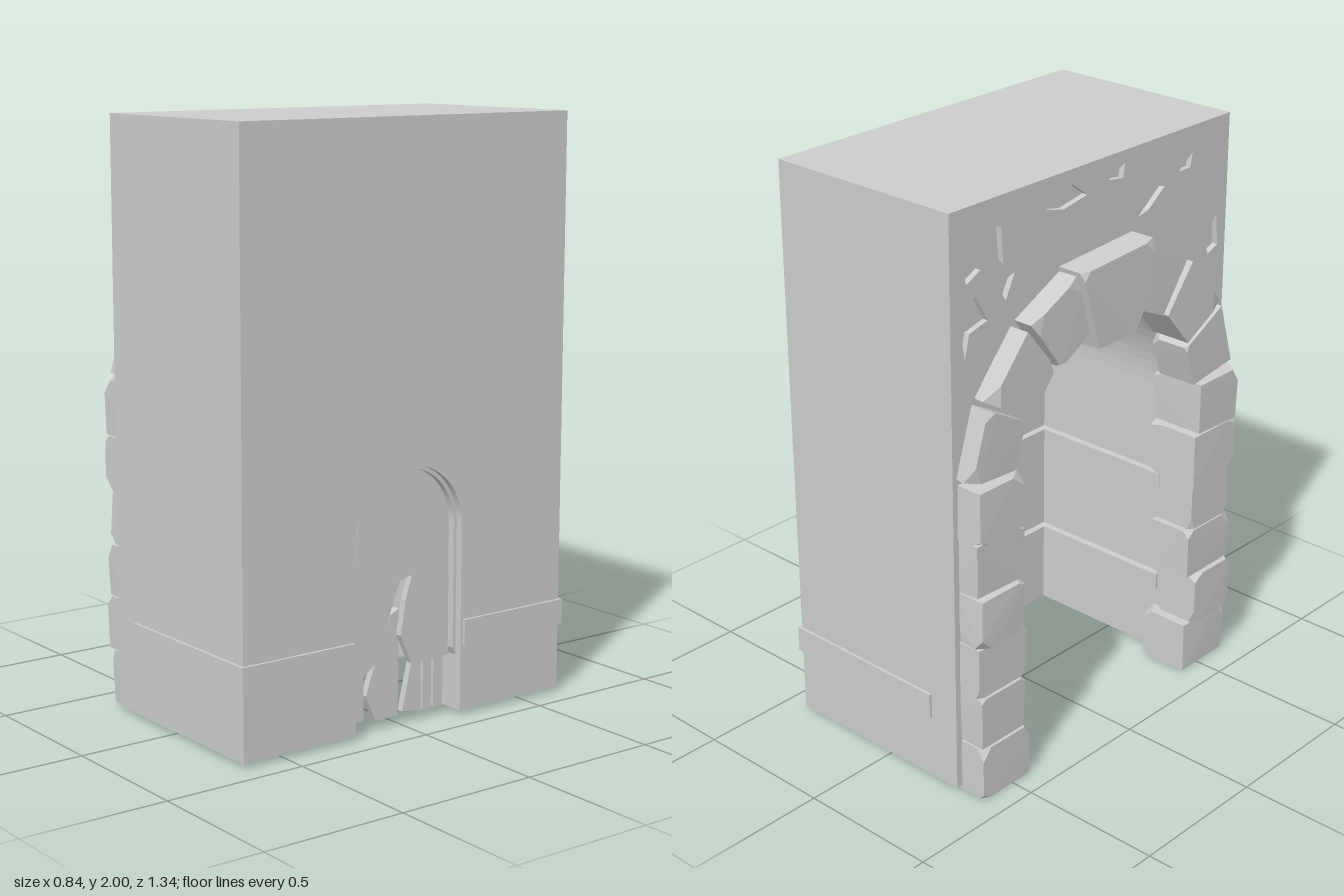
import * as THREE from 'three';
import { ConvexGeometry } from 'three/addons/geometries/ConvexGeometry.js';

const material = new THREE.MeshStandardMaterial({ color: 0xcccccc, flatShading: true });

// Small seeded generator for the rough stonework
let seed = 7;
const rand = () => (seed = (seed * 16807) % 2147483647) / 2147483647;

export function createModel() {
  const model = new THREE.Group();

  const add = (name, geometry) => {
    const mesh = new THREE.Mesh(geometry, material);
    mesh.name = name;
    model.add(mesh);
    return mesh;
  };

  // Shapes are drawn as (u, y) with u = -z, then extruded along x
  const extrudeX = (name, shape, x0, x1) => {
    const g = new THREE.ExtrudeGeometry(shape, { depth: x1 - x0, bevelEnabled: false, curveSegments: 20 });
    g.rotateY(Math.PI / 2).translate(x0, 0, 0);
    return add(name, g);
  };
  const polygon = (pts) => new THREE.Shape(pts.map(([u, y]) => new THREE.Vector2(u, y)));
  const box = (name, x0, x1, y0, y1, z0, z1) => {
    const g = new THREE.BoxGeometry(x1 - x0, y1 - y0, z1 - z0);
    g.translate((x0 + x1) / 2, (y0 + y1) / 2, (z0 + z1) / 2);
    return add(name, g);
  };

  // Rectangular wall section with an arched opening rising from the ground
  const W = 0.66, base = 0.015;
  const wallWithArch = (r, spring) => {
    const s = new THREE.Shape();
    s.moveTo(r, base);
    s.lineTo(W, base);
    s.lineTo(W, 2);
    s.lineTo(-W, 2);
    s.lineTo(-W, base);
    s.lineTo(-r, base);
    s.lineTo(-r, spring);
    s.absarc(0, spring, r, Math.PI, 0, true);
    s.lineTo(r, base);
    return s;
  };

  const R = 0.46, spring = 1.06;
  extrudeX('vaultedBlock', wallWithArch(R, spring), -0.3, 0.31);
  extrudeX('doorWall', wallWithArch(0.22, 0.66), 0.31, 0.41);

  // Thin plaster face with broken-out chips
  const plaster = wallWithArch(R, spring);
  const chips = [
    [[0.62, 1.86], [0.57, 1.9], [0.53, 1.79], [0.59, 1.76]],
    [[0.5, 1.93], [0.44, 1.9], [0.43, 1.78], [0.47, 1.82]],
    [[0.63, 1.7], [0.55, 1.71], [0.5, 1.62], [0.58, 1.6], [0.6, 1.52]],
    [[0.46, 1.72], [0.38, 1.74], [0.42, 1.66]],
    [[0.24, 1.9], [0.12, 1.95], [0.05, 1.9], [0.16, 1.88]],
    [[-0.05, 1.92], [-0.13, 1.96], [-0.12, 1.91]],
    [[-0.2, 1.76], [-0.29, 1.84], [-0.33, 1.83], [-0.25, 1.77]],
    [[-0.4, 1.86], [-0.47, 1.91], [-0.46, 1.86]],
    [[-0.54, 1.6], [-0.61, 1.66], [-0.62, 1.55], [-0.57, 1.53]],
  ];
  for (const c of chips) plaster.holes.push(polygon(c));
  extrudeX('plasterFace', plaster, -0.32, -0.3);

  // Rough stone: a block on four (u, y) corners with some corners knocked off
  const stone = (name, quad, x0, x1) => {
    const corner = (q, f) => {
      const [u, y] = quad[(q + 4) % 4];
      return new THREE.Vector3(f ? x1 : x0, y, -u);
    };
    const centre = new THREE.Vector3();
    for (let q = 0; q < 4; q++) centre.add(corner(q, 0)).add(corner(q, 1));
    centre.divideScalar(8);
    const pts = [];
    for (let q = 0; q < 4; q++) for (let f = 0; f < 2; f++) {
      const p = corner(q, f);
      if (rand() < 0.6) {
        for (const n of [corner(q + 1, f), corner(q - 1, f), corner(q, 1 - f)])
          pts.push(p.clone().lerp(n, 0.06 + 0.22 * rand()));
      } else pts.push(p.clone().lerp(centre, 0.07 * rand()));
    }
    add(name, new ConvexGeometry(pts));
  };

  // Jamb stones stacked on both sides of the large opening
  const rows = [0, 0.19, 0.38, 0.56, 0.74, 0.93, 1.12];
  for (const side of [-1, 1]) {
    for (let i = 0; i < rows.length - 1; i++) {
      const inner = side * (0.41 + (i % 2) * 0.025 + rand() * 0.015);
      const outer = side * (0.655 - rand() * 0.02);
      const y0 = rows[i], y1 = rows[i + 1];
      stone('jambStone', [[inner, y0], [outer, y0], [outer, y1], [inner, y1]],
        -0.395 - rand() * 0.025, -0.21 - rand() * 0.04);
    }
  }

  // Arch stones, angles measured from the crown
  const voussoir = (name, a0, a1, r0, r1, front) => {
    const at = (a, r) => [r * Math.sin(a), spring + r * Math.cos(a)];
    stone(name, [at(a0, r0), at(a1, r0), at(a1, r1), at(a0, r1)], front, -0.24);
  };
  const angles = [15, 37, 61, 84].map(THREE.MathUtils.degToRad);
  for (const side of [-1, 1])
    for (let i = 0; i < 3; i++)
      voussoir('archStone', side * (angles[i] + 0.015), side * (angles[i + 1] - 0.015),
        0.43 + rand() * 0.02, 0.65, -0.385 - rand() * 0.02);
  stone('keystone', [[-0.1, 1.43], [0.1, 1.42], [0.18, 1.7], [-0.17, 1.72]], -0.422, -0.24);

  // Outside band and inside ledges, mirrored about z
  for (const s of [-1, 1]) {
    const span = (a, b) => [Math.min(s * a, s * b), Math.max(s * a, s * b)];
    box('sideBand', -0.21, 0.42, 0.24, 0.33, ...span(0.65, 0.67));
    box('doorWallBand', 0.4, 0.42, 0.24, 0.33, ...span(0.23, 0.67));
    for (const [y0, y1] of [[0.27, 0.33], [0.68, 0.73]]) {
      box('innerSideLedge', -0.25, 0.31, y0, y1, ...span(0.435, 0.47));
      box('innerDoorWallLedge', 0.285, 0.32, y0, y1, ...span(0.23, 0.46));
    }
  }

  // Slim arched door frame
  const frame = new THREE.Shape();
  frame.moveTo(0.222, 0.2);
  frame.lineTo(0.222, 0.66);
  frame.absarc(0, 0.66, 0.222, 0, Math.PI, false);
  frame.lineTo(-0.222, 0.2);
  frame.lineTo(-0.207, 0.23);
  frame.lineTo(-0.207, 0.66);
  frame.absarc(0, 0.66, 0.207, Math.PI, 0, true);
  frame.lineTo(0.207, 0.23);
  extrudeX('doorFrame', frame, 0.32, 0.385);

  // Splintered plank door with a broken gap and ragged foot
  const door = polygon([
    [-0.21, 0.2], [-0.19, 0.04], [-0.15, 0.04], [-0.15, 0.19], [-0.105, 0.22], [-0.14, 0.12],
    [-0.1, 0.03], [-0.01, 0.03], [-0.003, 0.2], [-0.05, 0.36], [0, 0.49], [0.05, 0.5],
    [0.025, 0.42], [0.005, 0.3], [0.05, 0.2], [0.012, 0.04], [0.09, 0.03], [0.09, 0.2],
    [0.1, 0.2], [0.1, 0.03], [0.135, 0.03], [0.135, 0.2], [0.145, 0.2], [0.145, 0.03],
    [0.185, 0.03], [0.185, 0.2], [0.208, 0.2],
  ]);
  door.lineTo(0.208, 0.66);
  door.absarc(0, 0.66, 0.208, 0, 2.0, false);
  for (const [u, y] of [[-0.16, 0.76], [-0.18, 0.66], [-0.18, 0.57], [-0.21, 0.66]]) door.lineTo(u, y);
  extrudeX('brokenDoor', door, 0.335, 0.36);

  return model;
}
